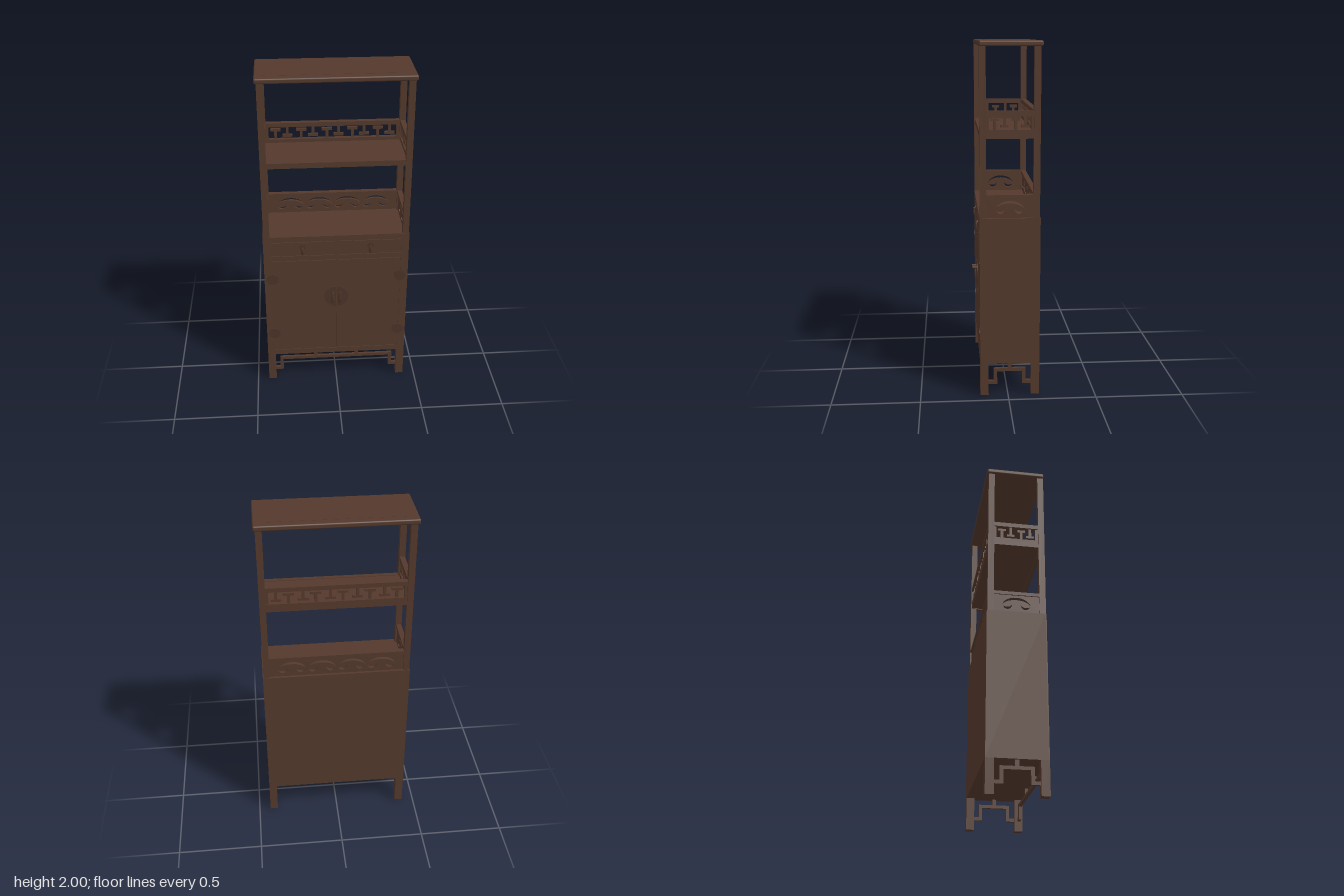
import * as THREE from 'three';
import { RoundedBoxGeometry } from 'three/addons/geometries/RoundedBoxGeometry.js';

export function createModel() {
  const root = new THREE.Group();
  root.name = 'displayCabinet';
  const wood = new THREE.MeshStandardMaterial({ color: 0x54392c });
  wood.name = 'darkWood';
  const metal = new THREE.MeshStandardMaterial({ color: 0x4b3327 });
  metal.name = 'agedMetal';

  const add = (name, geo, parent = root, mat = wood) => {
    const m = new THREE.Mesh(geo, mat);
    m.name = name;
    parent.add(m);
    return m;
  };
  // box given by its limits on each axis
  const box = (name, x0, x1, y0, y1, z0, z1, parent = root, mat = wood) => {
    const m = add(name, new THREE.BoxGeometry(x1 - x0, y1 - y0, z1 - z0), parent, mat);
    m.position.set((x0 + x1) / 2, (y0 + y1) / 2, (z0 + z1) / 2);
    return m;
  };
  const rectPath = (x0, x1, y0, y1, C = THREE.Path) =>
    new C().moveTo(x0, y0).lineTo(x1, y0).lineTo(x1, y1).lineTo(x0, y1).closePath();

  const BACK = -0.18, FRONT = 0.158, MID = -0.011;

  // lower cabinet: carcass, legs and front frame
  box('carcass', -0.43, 0.43, 0.19, 1.04, BACK, 0.152);
  for (const s of [-1, 1]) for (const [z0, z1] of [[BACK, -0.133], [0.111, FRONT]])
    box('leg', s * 0.4065 - 0.0235, s * 0.4065 + 0.0235, 0, 0.19, z0, z1);

  const frame = rectPath(-0.43, 0.43, 0.19, 1.04, THREE.Shape);
  const openings = [
    [-0.385, -0.015, 0.91, 1.005], [0.015, 0.385, 0.91, 1.005], [-0.385, 0.385, 0.225, 0.878]];
  openings.forEach(o => frame.holes.push(rectPath(...o)));
  add('frontFrame', new THREE.ExtrudeGeometry(frame, { depth: 0.006, bevelEnabled: false }))
    .position.z = 0.152;

  // drawers and doors sit flush with a fine gap around them
  const g = 0.003;
  for (const s of [-1, 1]) {
    const c = s * 0.2;
    box('drawerFront', c - 0.185 + g, c + 0.185 - g, 0.91 + g, 1.005 - g, 0.152, FRONT);
    const xs = [s * 0.003, s * (0.385 - g)].sort((a, b) => a - b);
    box('door', xs[0], xs[1], 0.225 + g, 0.878 - g, 0.152, FRONT);
  }

  // metal fittings
  const disc = (name, x, y, r, z, t = 0.003, start = 0, len = Math.PI * 2) => {
    const m = add(name, new THREE.CylinderGeometry(r, r, t, 32, 1, false, start, len), root, metal);
    m.rotation.x = Math.PI / 2;
    m.position.set(x, y, z);
    return m;
  };
  const pull = (name, x, y, z, h) => {
    const m = add(name, new THREE.SphereGeometry(1, 14, 10), root, metal);
    m.scale.set(0.01, h / 2, 0.005);
    m.position.set(x, y, z);
  };
  for (const s of [-1, 1]) {
    disc('drawerPlate', s * 0.2, 0.968, 0.018, FRONT + 0.001);
    disc('drawerKnob', s * 0.2, 0.968, 0.005, FRONT + 0.006, 0.012);
    pull('drawerPull', s * 0.2, 0.945, FRONT + 0.01, 0.05);
    disc('lockPlate', s * 0.003, 0.615, 0.07, FRONT + 0.001, 0.003, s > 0 ? 0 : Math.PI, Math.PI);
    disc('doorKnob', s * 0.022, 0.645, 0.007, FRONT + 0.0145, 0.029);
    pull('doorPull', s * 0.022, 0.605, FRONT + 0.012, 0.065);
    for (const y of [0.355, 0.75]) disc('hingePlate', s * 0.382, y, 0.035, FRONT + 0.0005);
  }

  // stepped openwork aprons; half is the clear half span between legs
  const apron = (name, half, stubs) => {
    const grp = new THREE.Group();
    grp.name = name;
    const e = half - 0.03, d = 0.008;
    box('apronRail', -e, e, 0.137, 0.156, -d, d, grp);
    for (const s of [-1, 1]) {
      const v = [s * e, s * (e - 0.02)].sort((a, b) => a - b);
      box('apronDrop', v[0], v[1], 0.06, 0.137, -d, d, grp);
      const f = [s * e, s * half].sort((a, b) => a - b);
      box('apronFoot', f[0], f[1], 0.06, 0.08, -d, d, grp);
    }
    stubs.forEach(x => box('apronStub', x - 0.011, x + 0.011, 0.156, 0.19, -d, d, grp));
    root.add(grp);
    return grp;
  };
  apron('frontApron', 0.385, [-0.13, 0.13]).position.z = 0.136;
  for (const s of [-1, 1]) {
    const a = apron('sideApron', 0.122, [0]);
    a.rotation.y = Math.PI / 2;
    a.position.set(s * 0.408, 0, MID);
  }

  // upper posts, shelf and top board
  for (const s of [-1, 1]) for (const z of [-0.158, 0.138])
    box('post', s * 0.408 - 0.018, s * 0.408 + 0.018, 1.04, 1.972, z - 0.018, z + 0.018);
  box('shelf', -0.4, 0.4, 1.482, 1.505, -0.17, 0.15);
  box('shelfFrontRail', -0.392, 0.392, 1.476, 1.508, 0.126, 0.152);
  const top = add('topBoard', new RoundedBoxGeometry(0.876, 0.03, 0.344, 3, 0.009));
  top.position.set(0, 1.984, -0.0145);
  box('topPanel', -0.39, 0.39, 1.99, 2.0, -0.14, 0.105);

  // gallery fretwork: interlocking upright and hanging T pieces
  const fret = (half, units) => {
    const grp = new THREE.Group();
    grp.name = 'fretGallery';
    const d = 0.008, inner = half - 0.018, p = 2 * inner / units;
    box('galleryTopRail', -half, half, 1.602, 1.628, -0.015, 0.015, grp);
    box('galleryBottomRail', -half, half, 1.478, 1.526, -0.012, 0.012, grp);
    for (const s of [-1, 1])
      box('galleryStile', s * (half - 0.009) - 0.009, s * (half - 0.009) + 0.009, 1.526, 1.602, -d, d, grp);
    for (let i = 0; i < units; i++) {
      const x = -inner + i * p, a = x + p * 0.27, b = x + p * 0.73;
      box('fretStem', a - 0.008, a + 0.008, 1.526, 1.576, -d, d, grp);
      box('fretCap', a - p * 0.2, a + p * 0.2, 1.574, 1.589, -d, d, grp);
      box('fretStem', b - 0.008, b + 0.008, 1.552, 1.602, -d, d, grp);
      box('fretCap', b - p * 0.2, b + p * 0.2, 1.539, 1.554, -d, d, grp);
    }
    root.add(grp);
    return grp;
  };

  // cloud board pierced with arched crescents and curls
  const cloud = (half, lobes, w) => {
    const grp = new THREE.Group();
    grp.name = 'cloudGallery';
    const board = rectPath(-half, half, 1.035, 1.155, THREE.Shape);
    for (let i = 0; i < lobes; i++) {
      const c = (i - (lobes - 1) / 2) * w, h = w / 2 - 0.004;
      board.holes.push(new THREE.Path().moveTo(c - h, 1.088)
        .bezierCurveTo(c - h * 0.75, 1.152, c + h * 0.75, 1.152, c + h, 1.088)
        .bezierCurveTo(c + h * 0.65, 1.132, c - h * 0.65, 1.132, c - h, 1.088));
      for (const s of [-1, 1])
        board.holes.push(new THREE.Path().moveTo(c + s * h * 0.93, 1.08)
          .bezierCurveTo(c + s * h * 0.8, 1.052, c + s * h * 0.35, 1.055, c + s * h * 0.3, 1.092)
          .bezierCurveTo(c + s * h * 0.45, 1.072, c + s * h * 0.7, 1.072, c + s * h * 0.93, 1.08));
    }
    const m = add('cloudBoard', new THREE.ExtrudeGeometry(board,
      { depth: 0.016, bevelEnabled: false, curveSegments: 14 }), grp);
    m.position.z = -0.008;
    box('cloudTopRail', -half, half, 1.15, 1.17, -0.015, 0.015, grp);
    root.add(grp);
    return grp;
  };

  // each gallery runs along the back and both sides
  for (const [make, back, side] of [[fret, [0.392, 5], [0.132, 2]], [cloud, [0.392, 4, 0.173], [0.132, 1, 0.17]]]) {
    make(...back).position.z = -0.158;
    for (const s of [-1, 1]) {
      const p = make(...side);
      p.rotation.y = s * Math.PI / 2;
      p.position.set(s * 0.408, 0, MID);
    }
  }
  return root;
}
